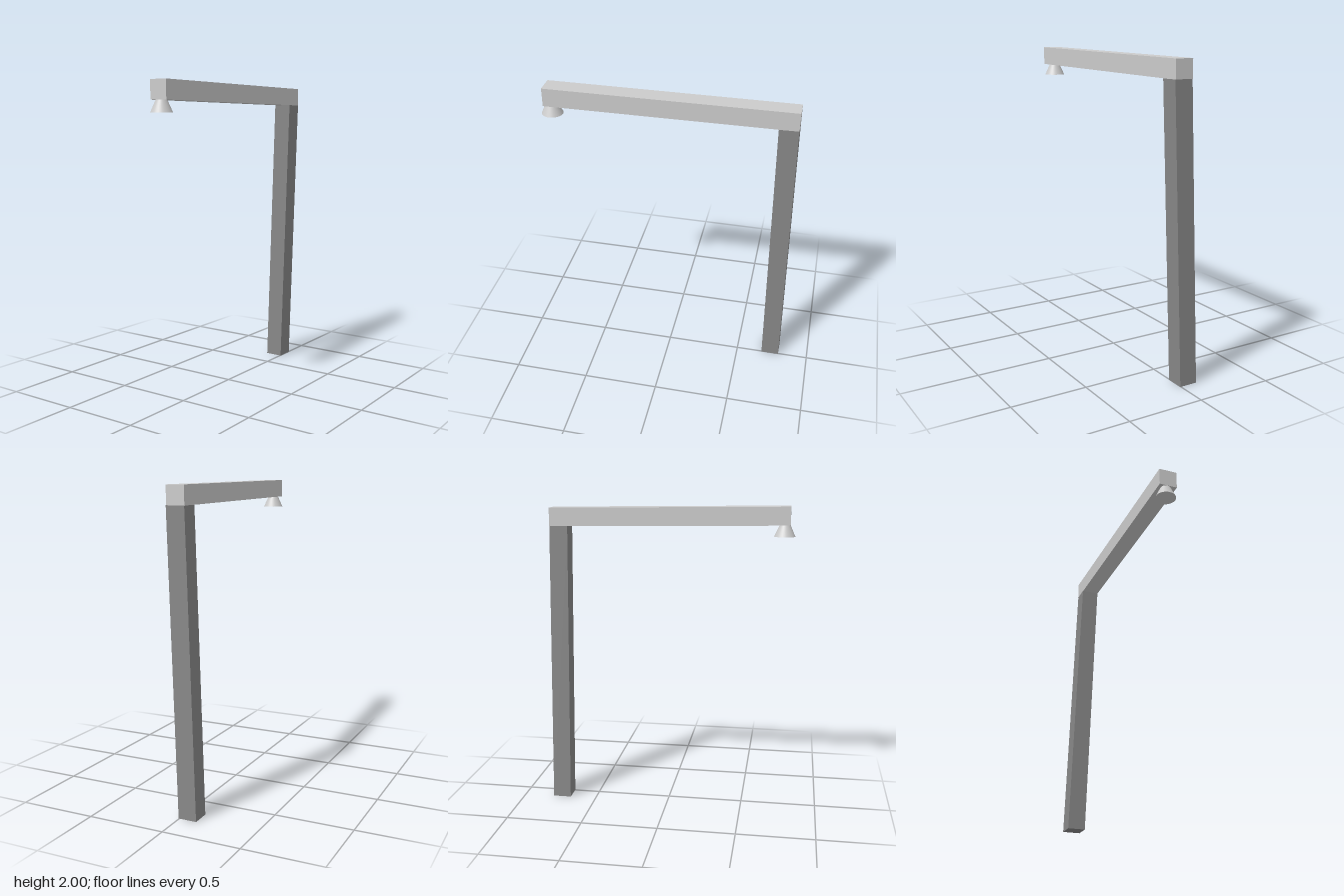
import * as THREE from 'three';

const pale = new THREE.MeshStandardMaterial({ color: 0xcccccc });
const dark = new THREE.MeshStandardMaterial({ color: 0x888888 });

// Box whose vertices are moved by a rule, giving a bar with sheared ends
function shearedBox(name, size, centre, rule, material) {
  const geometry = new THREE.BoxGeometry(...size);
  geometry.translate(...centre);
  const pos = geometry.attributes.position;
  const v = new THREE.Vector3();
  for (let i = 0; i < pos.count; i++) {
    rule(v.fromBufferAttribute(pos, i));
    pos.setXYZ(i, v.x, v.y, v.z);
  }
  geometry.computeVertexNormals();
  const mesh = new THREE.Mesh(geometry, material);
  mesh.name = name;
  return mesh;
}

export function createModel() {
  const model = new THREE.Group();
  model.name = 'lampPost';

  // Horizontal arm, rising and swinging forward towards its free end
  model.add(shearedBox('arm', [1.55, 0.117, 0.118], [0.005, 1.932, 0.03], (v) => {
    const t = v.x - 0.005;
    v.y -= 0.0125 * t;
    v.z -= 0.029 * t;
  }, pale));

  // Upright post, leaning slightly forward and inward towards the top
  model.add(shearedBox('post', [0.12, 1.865, 0.119], [0.737, 0.9325, -0.055], (v) => {
    const t = v.y / 1.865;
    v.x -= 0.017 * t;
    v.z += 0.064 * t;
  }, dark));

  // Flared lamp shade under the free end of the arm
  const shade = new THREE.Mesh(new THREE.CylinderGeometry(0.032, 0.067, 0.077, 32), pale);
  shade.name = 'lampShade';
  shade.position.set(-0.735, 1.8485, 0.047);
  model.add(shade);

  return model;
}
